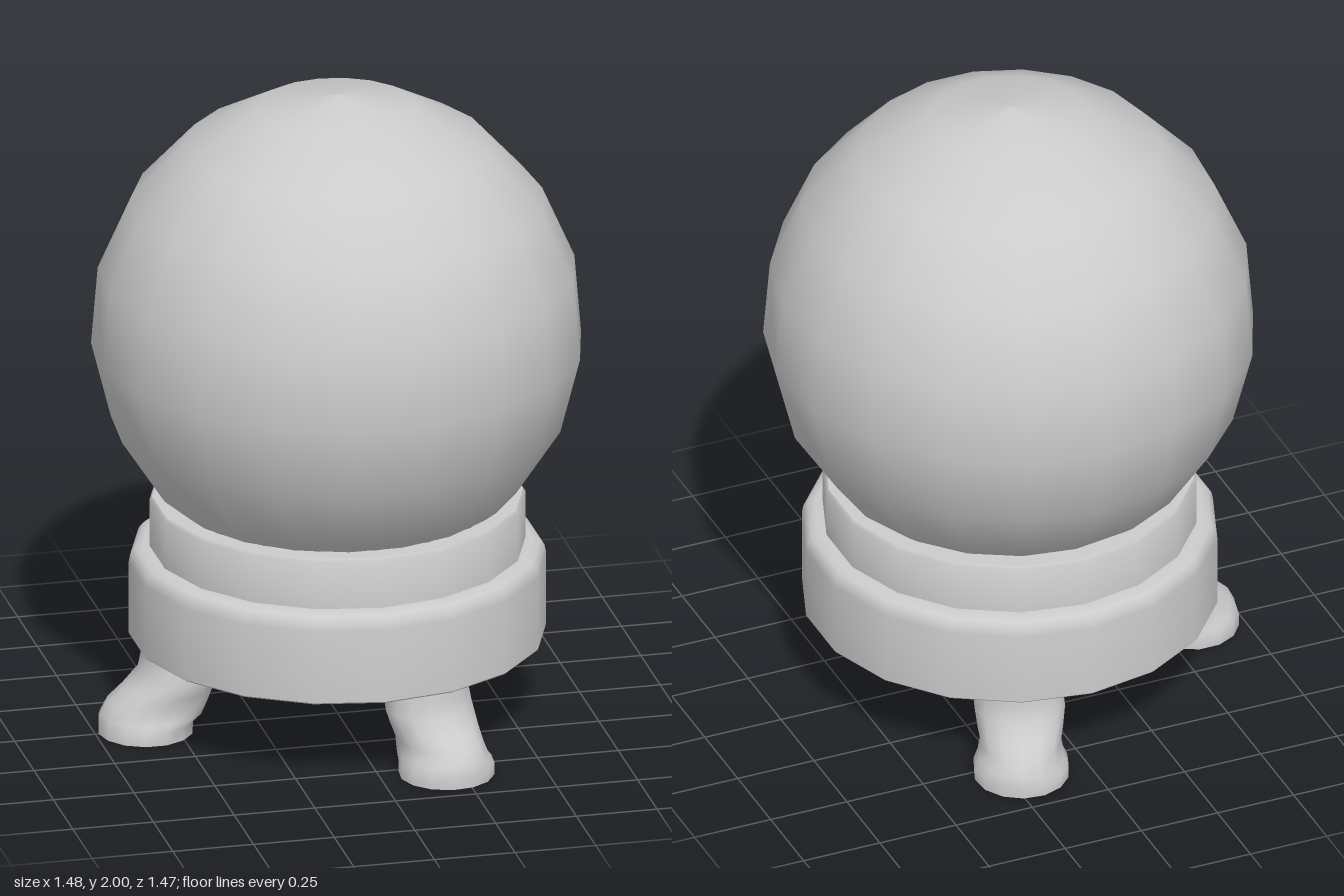
import * as THREE from 'three';
import { toCreasedNormals } from 'three/addons/utils/BufferGeometryUtils.js';

const material = new THREE.MeshStandardMaterial({ color: 0xcccccc, side: THREE.DoubleSide });

function addMesh(parent, geometry, name) {
  const mesh = new THREE.Mesh(geometry, material);
  mesh.name = name;
  parent.add(mesh);
  return mesh;
}

// Closed ring turned from a list of [radius, height]
function ring(points, sides) {
  const profile = [...points, points[0]].map(([r, y]) => new THREE.Vector2(r, y));
  return toCreasedNormals(new THREE.LatheGeometry(profile, sides), 0.7);
}

// Ball: faceted outline with smooth shading
function ballGeometry() {
  const sides = 19, radius = 0.745, centre = 1.255;
  const profile = [new THREE.Vector2(0, centre - radius)];
  for (let i = 9; i >= 0; i--) {
    const a = (i * 2 * Math.PI) / sides;
    profile.push(new THREE.Vector2(radius * Math.sin(a), centre + radius * Math.cos(a)));
  }
  return new THREE.LatheGeometry(profile, sides, Math.PI);
}

// Leg: elliptical sections [height, inner reach, outer reach, half width], open under the foot
function legGeometry() {
  const sections = [
    [0, 0.45, 0.74, 0.145],
    [0.04, 0.448, 0.74, 0.145],
    [0.06, 0.42, 0.735, 0.132],
    [0.1, 0.4, 0.715, 0.122],
    [0.14, 0.388, 0.665, 0.132],
    [0.19, 0.38, 0.615, 0.14],
    [0.24, 0.392, 0.605, 0.13],
    [0.29, 0.4, 0.6, 0.118],
  ];
  const sides = 14, positions = [], indices = [];
  for (const [y, inner, outer, half] of sections) {
    for (let i = 0; i < sides; i++) {
      const a = (i / sides) * Math.PI * 2;
      positions.push((inner + outer) / 2 + ((outer - inner) / 2) * Math.cos(a), y, -half * Math.sin(a));
    }
  }
  for (let s = 0; s < sections.length - 1; s++) {
    for (let i = 0; i < sides; i++) {
      const j = (i + 1) % sides;
      const a = s * sides + i, b = s * sides + j;
      indices.push(a, b, b + sides, a, b + sides, a + sides);
    }
  }
  // Flat top
  const last = (sections.length - 1) * sides, centre = positions.length / 3;
  positions.push(0.5, 0.29, 0);
  for (let i = 0; i < sides; i++) indices.push(last + i, last + ((i + 1) % sides), centre);
  const geometry = new THREE.BufferGeometry();
  geometry.setAttribute('position', new THREE.Float32BufferAttribute(positions, 3));
  geometry.setIndex(indices);
  return toCreasedNormals(geometry, 1.1);
}

export function createModel() {
  const model = new THREE.Group();
  model.name = 'ballOnStand';

  addMesh(model, ballGeometry(), 'ball');

  // Narrow collar that cups the ball
  addMesh(model, ring([
    [0.56, 0.53], [0.567, 0.535], [0.567, 0.705], [0.56, 0.715],
    [0.5, 0.715], [0.47, 0.65], [0.47, 0.53],
  ], 18), 'collar');

  // Wide base ring with rounded upper edges
  addMesh(model, ring([
    [0.625, 0.27], [0.63, 0.275], [0.63, 0.505], [0.625, 0.53], [0.612, 0.547], [0.59, 0.555],
    [0.495, 0.555], [0.473, 0.547], [0.46, 0.53], [0.456, 0.505], [0.456, 0.27],
  ], 18), 'baseRing');

  // Three legs pointing outward
  const leg = legGeometry();
  [['rightLeg', 180], ['frontLeg', -70], ['backLeg', 70]].forEach(([name, degrees]) => {
    addMesh(model, leg, name).rotation.y = THREE.MathUtils.degToRad(degrees);
  });

  return model;
}
